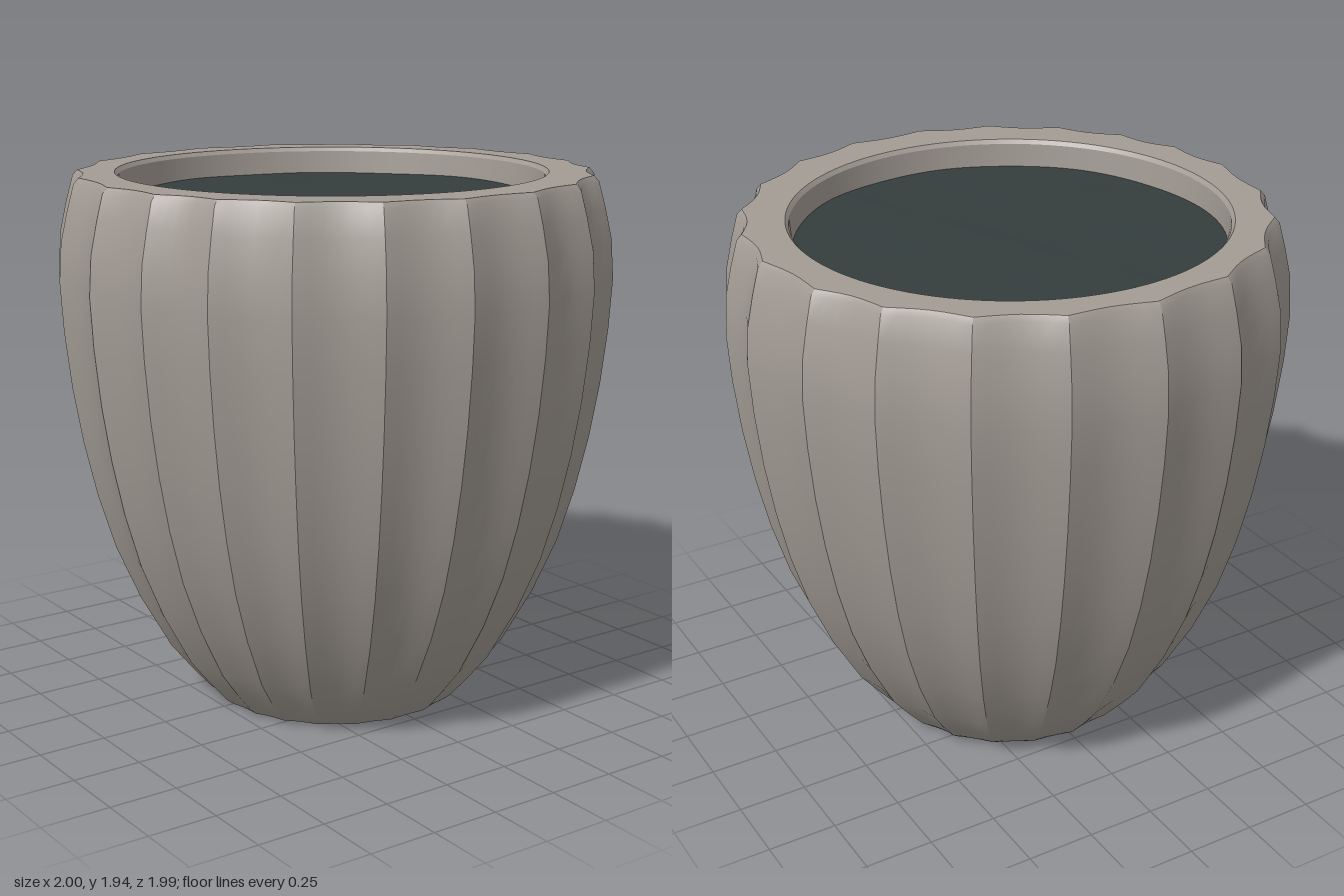
import * as THREE from 'three';
import { toCreasedNormals, mergeVertices } from 'three/addons/utils/BufferGeometryUtils.js';

// Ridge angles in degrees, measured from the back (-z) towards +x, mirrored to the other side
const HALF = [0, 19, 37, 55, 71.5, 90, 106, 121, 137, 154, 171];
const RIDGES = [...HALF, ...HALF.slice(1).reverse().map((a) => 360 - a), 360];
const STEPS = 6;
const SOIL_Y = 1.84;
const OPENING_Z = -0.02;

// Outer and inner profile: radius, height, flute depth, z offset
const PROFILE = [
  [0, 0, 0, 0], [0.46, 0, 0.02, 0], [0.485, 0.02, 0.03, 0], [0.555, 0.1, 0.035, 0],
  [0.635, 0.2, 0.035, 0], [0.745, 0.4, 0.035, 0], [0.83, 0.6, 0.035, 0],
  [0.89, 0.8, 0.035, 0], [0.935, 1.0, 0.035, 0], [0.968, 1.2, 0.035, 0],
  [0.99, 1.4, 0.035, 0], [1.0, 1.58, 0.035, 0], [0.99, 1.72, 0.035, 0],
  [0.965, 1.83, 0.035, 0], [0.94, 1.92, 0.035, 0], [0.922, 1.94, 0.03, 0],
  [0.775, 1.94, 0, OPENING_Z], [0.763, 1.925, 0, OPENING_Z], [0.753, 1.8, 0, OPENING_Z],
];

function fluteColumns() {
  const columns = [];
  for (let i = 0; i < RIDGES.length - 1; i++) {
    for (let s = 0; s < STEPS; s++) {
      const t = s / STEPS;
      const angle = THREE.MathUtils.degToRad(THREE.MathUtils.lerp(RIDGES[i], RIDGES[i + 1], t));
      columns.push({ angle, dip: Math.sin(Math.PI * t) });
    }
  }
  return columns;
}

// Fluted shell swept round the profile
function potGeometry() {
  const columns = fluteColumns();
  const n = columns.length;
  const positions = [];
  const index = [];
  PROFILE.forEach(([radius, y, depth, z], row) => {
    columns.forEach(({ angle, dip }, c) => {
      const r = radius * (1 - depth * dip);
      positions.push(r * Math.sin(angle), y, z - r * Math.cos(angle));
      if (row === PROFILE.length - 1) return;
      const a = row * n + c;
      const b = row * n + (c + 1) % n;
      if (row > 0) index.push(a, a + n, b);
      index.push(b, a + n, b + n);
    });
  });
  const geometry = new THREE.BufferGeometry();
  geometry.setAttribute('position', new THREE.Float32BufferAttribute(positions, 3));
  geometry.setIndex(index);
  return toCreasedNormals(geometry, THREE.MathUtils.degToRad(27));
}

// Slightly uneven disc of earth
function soilGeometry() {
  const disc = new THREE.RingGeometry(0.001, 0.762, 64, 10).rotateX(-Math.PI / 2);
  disc.deleteAttribute('uv');
  disc.deleteAttribute('normal');
  const geometry = mergeVertices(disc);
  const p = geometry.attributes.position;
  for (let i = 0; i < p.count; i++) {
    const x = p.getX(i);
    const z = p.getZ(i);
    p.setY(i, 0.005 * Math.sin(7 * x + 2 * z) * Math.cos(6 * z - 3 * x));
  }
  geometry.computeVertexNormals();
  return geometry;
}

export function createModel() {
  const stone = new THREE.MeshStandardMaterial({ color: 0xa39c95 });
  stone.name = 'warm grey stone';
  const earth = new THREE.MeshStandardMaterial({ color: 0x343d3d });
  earth.name = 'dark earth';

  const model = new THREE.Group();
  model.name = 'flutedPlanter';

  const pot = new THREE.Mesh(potGeometry(), stone);
  pot.name = 'flutedPot';

  const soil = new THREE.Mesh(soilGeometry(), earth);
  soil.name = 'soil';
  soil.position.set(0, SOIL_Y, OPENING_Z);

  model.add(pot, soil);
  return model;
}
